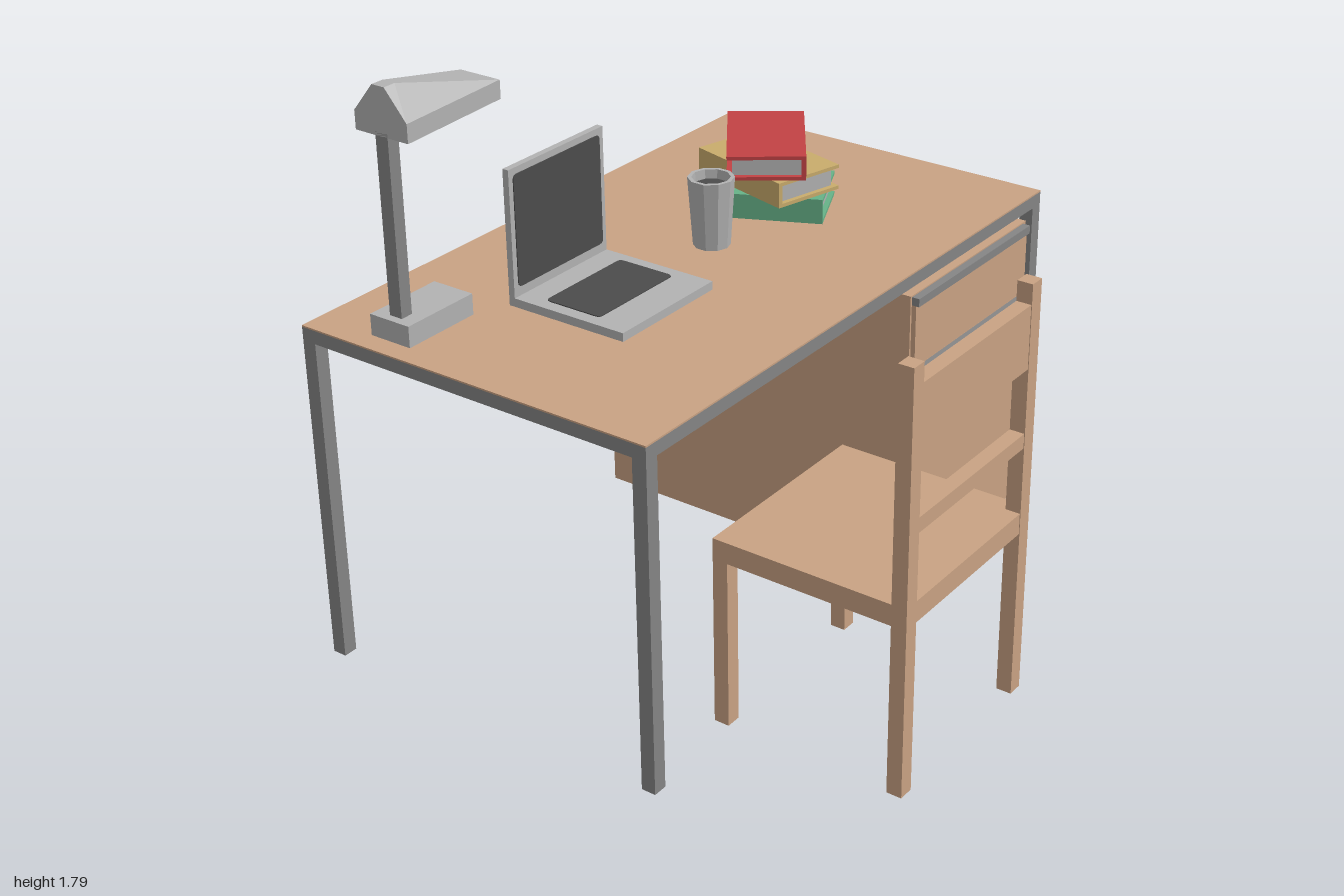
import * as THREE from 'three';

const mat = (name, color) => Object.assign(new THREE.MeshStandardMaterial({ color }), { name });
const wood = mat('wood', 0xc9a283);
const steel = mat('steelGrey', 0x858585);
const silver = mat('silver', 0xb2b2b2);
const dark = mat('darkGrey', 0x4c4c4c);
const red = mat('red', 0xc24244);
const green = mat('green', 0x66b288);
const yellow = mat('yellow', 0xc9ac6c);

function add(parent, name, geometry, material) {
  const mesh = new THREE.Mesh(geometry, material);
  mesh.name = name;
  parent.add(mesh);
  return mesh;
}

function group(parent, name) {
  const g = new THREE.Group();
  g.name = name;
  parent.add(g);
  return g;
}

// Box given by its limits on each axis
function box(parent, name, material, [x0, x1], [y0, y1], [z0, z1]) {
  const mesh = add(parent, name, new THREE.BoxGeometry(x1 - x0, y1 - y0, z1 - z0), material);
  mesh.position.set((x0 + x1) / 2, (y0 + y1) / 2, (z0 + z1) / 2);
  return mesh;
}

// Flat plate with rounded corners in the XY plane
function roundedPlate(w, h, r, depth) {
  const s = new THREE.Shape();
  const x = w / 2, y = h / 2;
  s.moveTo(-x + r, -y);
  s.lineTo(x - r, -y).quadraticCurveTo(x, -y, x, -y + r);
  s.lineTo(x, y - r).quadraticCurveTo(x, y, x - r, y);
  s.lineTo(-x + r, y).quadraticCurveTo(-x, y, -x, y - r);
  s.lineTo(-x, -y + r).quadraticCurveTo(-x, -y, -x + r, -y);
  return new THREE.ExtrudeGeometry(s, { depth, bevelEnabled: false, curveSegments: 3 });
}

// Closed loft through stacked four-cornered rings, each [y, [x, z] * 4]
function loft(rings) {
  const p = [];
  const v = (r, i) => [rings[r][1][i % 4][0], rings[r][0], rings[r][1][i % 4][1]];
  const quad = (a, b, c, d) => p.push(...a, ...b, ...c, ...a, ...c, ...d);
  for (let r = 0; r < rings.length - 1; r++)
    for (let i = 0; i < 4; i++) quad(v(r, i), v(r, i + 1), v(r + 1, i + 1), v(r + 1, i));
  const t = rings.length - 1;
  quad(v(t, 0), v(t, 1), v(t, 2), v(t, 3));
  quad(v(0, 3), v(0, 2), v(0, 1), v(0, 0));
  const g = new THREE.BufferGeometry();
  g.setAttribute('position', new THREE.Float32BufferAttribute(p, 3));
  g.computeVertexNormals();
  return g;
}

function buildDesk(root) {
  const desk = group(root, 'desk');
  const t = 0.045, zb = -0.87, zf = 0.32;
  box(desk, 'deskTop', wood, [-1, 1], [1.061, 1.066], [zb, zf]);
  box(desk, 'deskBoard', wood, [-1 + t, 1 - t], [1.04, 1.061], [zb + t, zf - t]);
  for (const z of [zb, zf - t]) box(desk, 'frameRail', steel, [-1, 1], [1.02, 1.061], [z, z + t]);
  for (const x of [-1, 1 - t]) {
    box(desk, 'frameSide', steel, [x, x + t], [1.02, 1.061], [zb + t, zf - t]);
    for (const z of [zb, zf - t]) box(desk, 'deskLeg', steel, [x, x + t], [0, 1.02], [z, z + t]);
  }
}

function buildCabinet(root) {
  const cab = group(root, 'cabinet');
  const w = 0.012, x0 = 0.275, x1 = 0.952, zb = -0.83, zf = 0.3;
  box(cab, 'cabinetSide', wood, [x0, x0 + w], [0, 0.975], [zb, zf]);
  box(cab, 'cabinetSide', wood, [x1 - w, x1], [0, 0.975], [zb, zf]);
  box(cab, 'cabinetBack', wood, [x0 + w, x1 - w], [0, 0.975], [zb, zb + w]);
  box(cab, 'cabinetTop', wood, [x0 + w, x1 - w], [0.963, 0.975], [zb + w, zf]);
  // Four drawers with a grip strip along each upper edge
  for (let i = 0; i < 4; i++) {
    const y = 0.01 + i * 0.245;
    const d = group(cab, 'drawer');
    box(d, 'drawerBody', wood, [x0 + w, x1 - w], [y, y + 0.228], [-0.37, 0.298]);
    box(d, 'drawerFront', wood, [0.282, 0.935], [y, y + 0.2], [0.298, 0.315]);
    box(d, 'drawerGrip', steel, [0.282, 0.935], [y + 0.2, y + 0.226], [0.298, 0.325]);
  }
}

function buildChair(root) {
  const chair = group(root, 'chair');
  const x0 = -0.635, x1 = 0, t = 0.048;
  for (const x of [x0, x1 - t]) {
    box(chair, 'backPost', wood, [x, x + t], [0, 1.29], [0.82, 0.867]);
    box(chair, 'chairFrontLeg', wood, [x, x + t], [0, 0.53], [0.25, 0.298]);
  }
  box(chair, 'seat', wood, [x0, x1], [0.53, 0.595], [0.25, 0.82]);
  for (const y of [[0.53, 0.595], [0.8, 0.845], [1.04, 1.23]])
    box(chair, 'backRail', wood, [x0 + t, x1 - t], y, [0.82, 0.865]);
}

function buildLamp(root) {
  const lamp = group(root, 'lamp');
  box(lamp, 'lampBase', silver, [-0.935, -0.68], [1.066, 1.13], [-0.67, -0.53]);
  box(lamp, 'lampStem', steel, [-0.91, -0.87], [1.13, 1.66], [-0.62, -0.577]);
  const rim = [[-0.91, -0.505], [-0.52, -0.53], [-0.52, -0.67], [-0.91, -0.69]];
  const ridge = [[-0.91, -0.577], [-0.87, -0.577], [-0.87, -0.62], [-0.91, -0.62]];
  add(lamp, 'lampShade', loft([[1.65, rim], [1.705, rim], [1.79, ridge]]), silver);
}

function buildLaptop(root) {
  const laptop = group(root, 'laptop');
  box(laptop, 'laptopBase', silver, [-0.577, -0.17], [1.066, 1.092], [-0.487, -0.085]);
  box(laptop, 'laptopLid', silver, [-0.577, -0.17], [1.092, 1.475], [-0.487, -0.467]);
  add(laptop, 'screen', roundedPlate(0.372, 0.335, 0.015, 0.003), dark).position.set(-0.374, 1.288, -0.467);
  const keys = add(laptop, 'keyboard', roundedPlate(0.33, 0.19, 0.015, 0.003), dark);
  keys.rotation.x = -Math.PI / 2;
  keys.position.set(-0.373, 1.092, -0.292);
}

function buildCup(root) {
  const cup = group(root, 'cup');
  cup.position.set(0.085, 1.066, -0.275);
  const profile = [[0, 0], [0.056, 0], [0.07, 0.214], [0.058, 0.214], [0.056, 0.18]];
  const shell = new THREE.LatheGeometry(profile.map(([x, y]) => new THREE.Vector2(x, y)), 10).toNonIndexed();
  shell.computeVertexNormals();
  add(cup, 'cupShell', shell, silver);
  const fill = add(cup, 'cupFilling', new THREE.CircleGeometry(0.057, 10), dark);
  fill.rotation.set(-Math.PI / 2, 0, Math.PI / 2);
  fill.position.y = 0.185;
}

// Book lying flat, spine on its local +z side
function buildBook(root, name, cover, x, y, angle, height) {
  const book = group(root, name);
  const a = 0.19, b = 0.118, c = 0.011;
  box(book, 'lowerCover', cover, [-a, a], [0, c], [-b, b]);
  box(book, 'upperCover', cover, [-a, a], [height - c, height], [-b, b]);
  box(book, 'spine', cover, [-a, a], [c, height - c], [b - 0.014, b]);
  box(book, 'pages', silver, [-a + 0.016, a - 0.016], [c, height - c], [-b + 0.016, b - 0.014]);
  book.position.set(x, y, -0.31);
  book.rotation.y = angle;
}

export function createModel() {
  const root = new THREE.Group();
  root.name = 'deskSet';
  buildDesk(root);
  buildCabinet(root);
  buildChair(root);
  buildLamp(root);
  buildLaptop(root);
  buildCup(root);
  buildBook(root, 'greenBook', green, 0.418, 1.066, -1.137, 0.079);
  buildBook(root, 'yellowBook', yellow, 0.424, 1.146, -1.83, 0.079);
  buildBook(root, 'redBook', red, 0.413, 1.226, 0.617, 0.076);
  return root;
}
